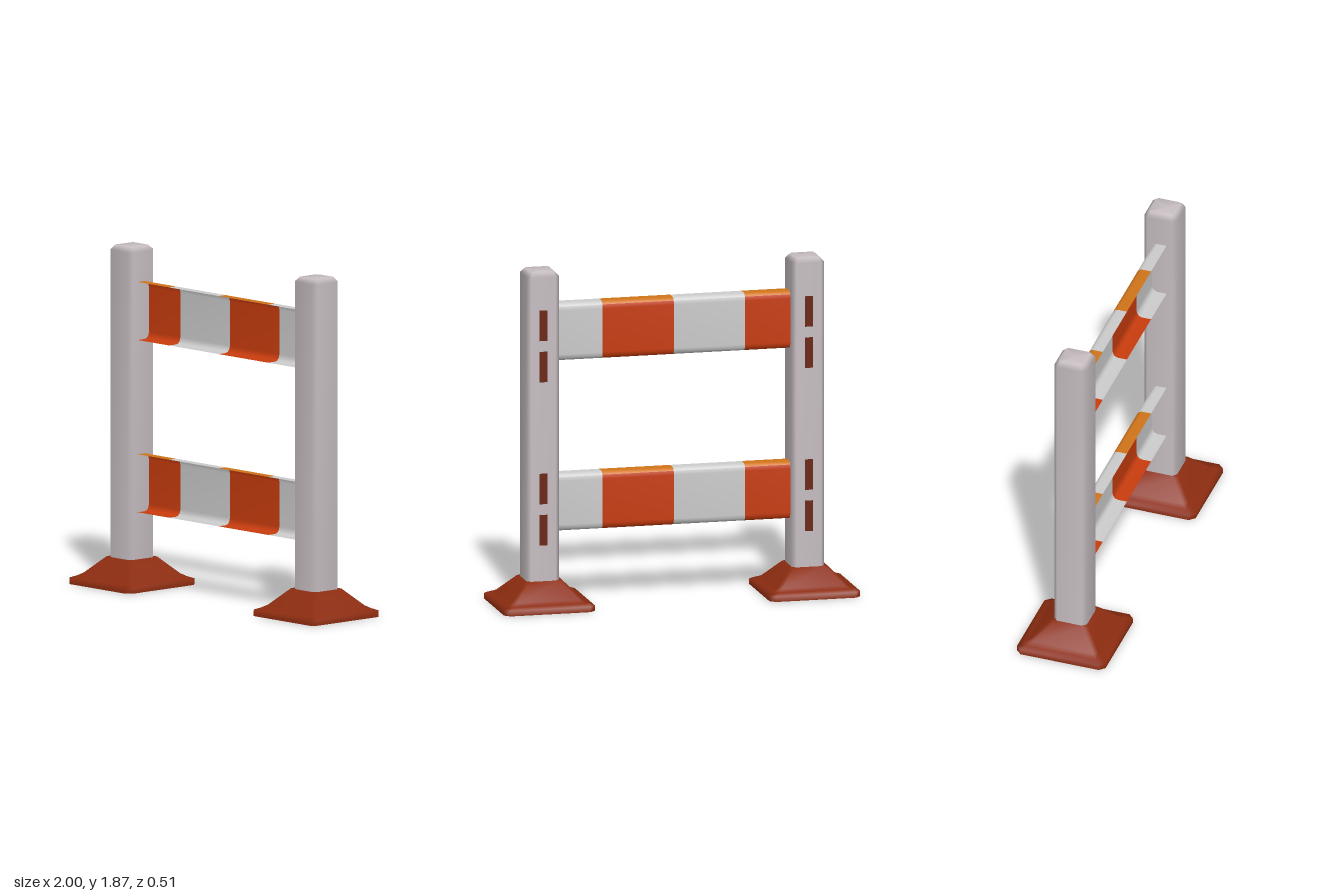
import * as THREE from 'three';

const paint = (color) => new THREE.MeshStandardMaterial({ color, side: THREE.DoubleSide });
const ORANGE = paint(0xc83c0e), AMBER = paint(0xd0741a), GREY = paint(0xcccccc);
const POST = paint(0xc6bdc1), BASE = paint(0x8c2c10), SLOT = paint(0x6a2412);

const POST_X = 0.745;

// Indexed geometry from rows of points; area-weighted smooth normals
function gridGeometry(rows, closed) {
  const n = rows[0].length, index = [];
  for (let r = 0; r < rows.length - 1; r++) {
    for (let i = 0; i < (closed ? n : n - 1); i++) {
      const a = r * n + i, b = r * n + (i + 1) % n;
      index.push(a, a + n, b, b, a + n, b + n);
    }
  }
  const geometry = new THREE.BufferGeometry();
  geometry.setAttribute('position', new THREE.Float32BufferAttribute(rows.flat(2), 3));
  geometry.setIndex(index);
  geometry.computeVertexNormals();
  return geometry;
}

// Rectangular ring with cut corners, half sizes w and d, at height y
function ring(y, w, d, cut) {
  return [
    [w, y, d - cut], [w, y, -d + cut], [w - cut, y, -d], [-w + cut, y, -d],
    [-w, y, -d + cut], [-w, y, d - cut], [-w + cut, y, d], [w - cut, y, d],
  ];
}

// Stack of rings, from the bottom up, closed at the top
function stack(sections) {
  const rows = sections.map((s) => ring(...s));
  const top = sections[sections.length - 1][0];
  rows.push(rows[0].map(() => [0, top, 0]));
  // Winding runs from top to bottom so that faces point outward
  return gridGeometry(rows.reverse(), true);
}

// Sheet with a [z, y] profile running from x0 to x1
const sheet = (profile, x0, x1) =>
  gridGeometry([x0, x1].map((x) => profile.map(([z, y]) => [x, y, z])), false);

function add(parent, name, geometry, material, x = 0, y = 0, z = 0) {
  const mesh = new THREE.Mesh(geometry, material);
  mesh.name = name;
  mesh.position.set(x, y, z);
  parent.add(mesh);
  return mesh;
}

export function createModel() {
  const model = new THREE.Group();
  model.name = 'barrier';

  const postGeometry = stack([
    [0.1, 0.091, 0.094, 0.022], [1.845, 0.091, 0.094, 0.022], [1.87, 0.068, 0.071, 0.012],
  ]);
  const baseGeometry = stack([
    [0, 0.255, 0.255, 0.03], [0.03, 0.255, 0.255, 0.03], [0.042, 0.225, 0.225, 0.025],
    [0.058, 0.197, 0.197, 0.022], [0.15, 0.107, 0.107, 0.02],
  ]);
  // Underside of the foot
  const soleGeometry = new THREE.ShapeGeometry(
    new THREE.Shape(ring(0, 0.255, 0.255, 0.03).map(([x, , z]) => new THREE.Vector2(x, z)))
  ).rotateX(Math.PI / 2);
  const slotGeometry = new THREE.BoxGeometry(0.045, 0.17, 0.01);

  // Upright posts, feet and the slots on the back of each post
  for (const [side, x] of [['left', POST_X], ['right', -POST_X]]) {
    const upright = new THREE.Group();
    upright.name = side + 'Upright';
    upright.position.x = x;
    model.add(upright);
    add(upright, 'post', postGeometry, POST);
    add(upright, 'foot', baseGeometry, BASE);
    add(upright, 'sole', soleGeometry, BASE);
    for (const y of [0.435, 0.665, 1.345, 1.575]) {
      add(upright, 'slot', slotGeometry, SLOT, 0, y, -0.091);
    }
  }

  // Boards: channels open to the front, rounded along the back edges
  const topFlange = [[0.04, 0.16], [-0.012, 0.16], [-0.028, 0.155], [-0.038, 0.143]];
  const lower = topFlange.map(([z, y]) => [z, -y]).reverse();
  const web = [[-0.038, 0.143], [-0.044, 0.122], [-0.044, -0.122], ...lower];
  const stripes = [
    [-0.66, -0.4, true], [-0.4, 0, false], [0, 0.4, true], [0.4, 0.66, false],
  ];
  for (const [name, y] of [['lowerBoard', 0.57], ['upperBoard', 1.52]]) {
    const board = new THREE.Group();
    board.name = name;
    board.position.y = y;
    model.add(board);
    for (const [x0, x1, bright] of stripes) {
      add(board, 'stripe', sheet(web, x0, x1), bright ? ORANGE : GREY);
      add(board, 'stripeTop', sheet(topFlange, x0, x1), bright ? AMBER : GREY);
    }
  }
  return model;
}
